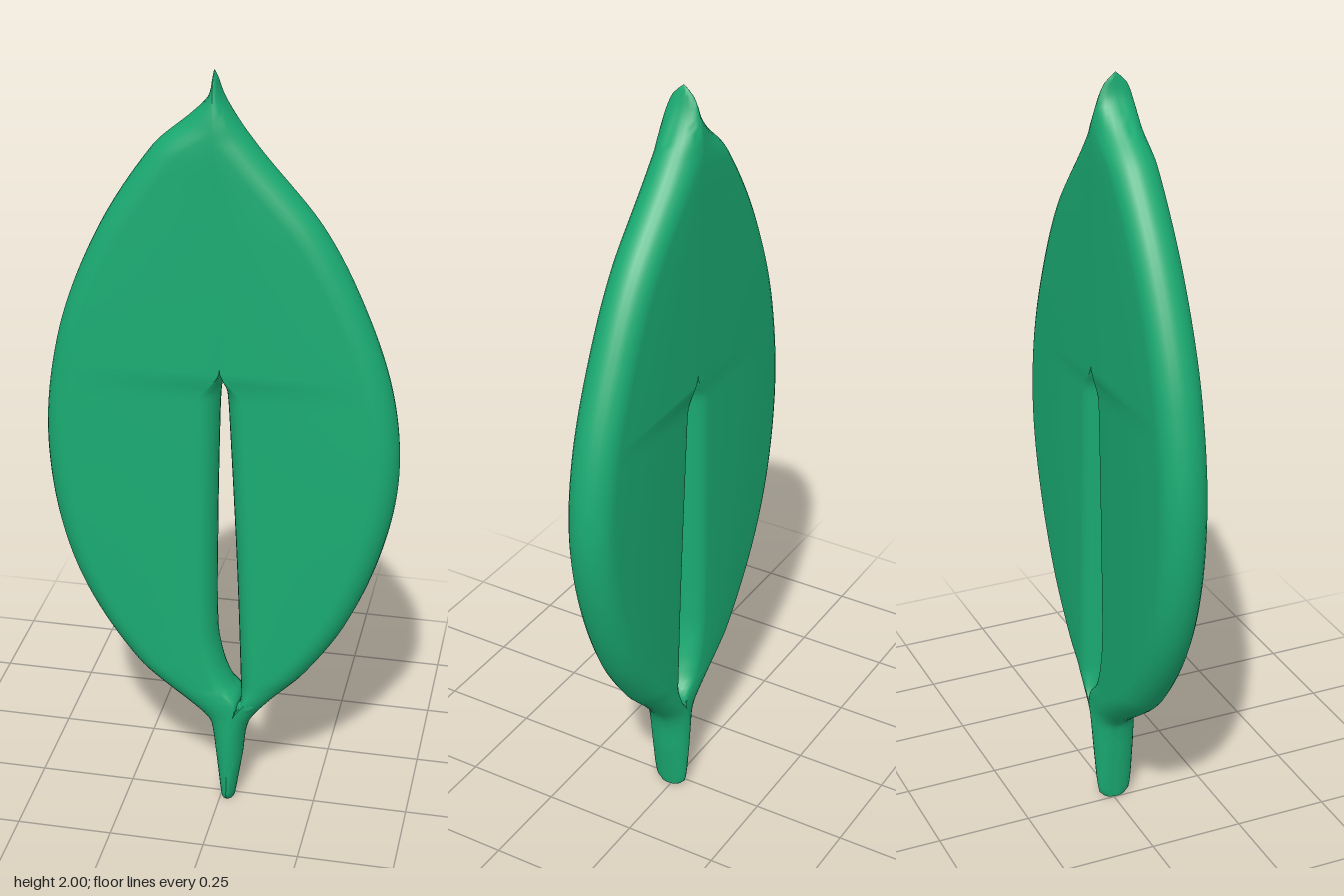
import * as THREE from 'three';
import { toCreasedNormals } from 'three/addons/utils/BufferGeometryUtils.js';

// Smooth curve through [y, value] pairs (cubic Hermite)
function curve(pts) {
  const slope = (i) => {
    const a = pts[Math.max(i - 1, 0)], b = pts[Math.min(i + 1, pts.length - 1)];
    return (b[1] - a[1]) / (b[0] - a[0]);
  };
  return (y) => {
    let i = 0;
    while (i < pts.length - 2 && y > pts[i + 1][0]) i++;
    const [y0, v0] = pts[i], [y1, v1] = pts[i + 1];
    const h = y1 - y0, t = THREE.MathUtils.clamp((y - y0) / h, 0, 1), t2 = t * t, t3 = t2 * t;
    return (2 * t3 - 3 * t2 + 1) * v0 + (t3 - 2 * t2 + t) * h * slope(i)
      + (3 * t2 - 2 * t3) * v1 + (t3 - t2) * h * slope(i + 1);
  };
}

// Outline of blade and stalk
const leftEdge = curve([[0, 0.002], [0.12, -0.012], [0.235, -0.028], [0.26, -0.045], [0.41, -0.225], [0.68, -0.385],
  [1.0, -0.447], [1.31, -0.415], [1.58, -0.315], [1.81, -0.17], [1.9, -0.07], [1.94, -0.033], [2, -0.021]]);
const rightEdge = curve([[0, 0.036], [0.12, 0.055], [0.24, 0.074], [0.31, 0.125], [0.41, 0.22], [0.57, 0.325],
  [0.79, 0.41], [1.0, 0.445], [1.21, 0.425], [1.42, 0.355], [1.63, 0.245], [1.82, 0.085], [1.93, 0.006], [2, -0.019]]);

// Both sides of the slot; they meet above and below it
const slotLeft = curve([[0, 0.019], [0.25, 0.03], [0.32, 0.054], [0.36, 0.03], [0.42, 0.006], [0.52, -0.011],
  [0.8, -0.012], [1.1, -0.007], [1.2, -0.003], [1.24, 0.004], [1.6, 0], [2, -0.02]]);
const slotRightOpen = curve([[0.32, 0.054], [0.7, 0.041], [1.1, 0.021], [1.2, 0.014], [1.24, 0.004]]);
const slotRight = (y) => (y > 0.32 && y < 1.24 ? Math.max(slotRightOpen(y), slotLeft(y)) : slotLeft(y));

const depth = curve([[0, 0.03], [0.015, 0.043], [0.12, 0.053], [0.25, 0.059], [0.6, 0.06], [1.7, 0.06],
  [1.86, 0.058], [1.93, 0.046], [1.975, 0.028], [2, 0.001]]);
const lean = (y) => 0.008 - 0.0068 * y;

const ROUND = 0.06, ARC = 6;
const { smoothstep } = THREE.MathUtils;
const slotRound = (y) => 0.045 * smoothstep(y, 0.28, 0.37) * (1 - smoothstep(y, 1.19, 1.27));
// Horizontal width of the rounding grows where the outline slants
function edgeRound(edge, y) {
  const s = (edge(Math.min(y + 0.01, 2)) - edge(Math.max(y - 0.01, 0))) / 0.02;
  return ROUND * Math.min(Math.hypot(1, s), 1.8);
}

// Closed cross-section at height y: flat faces with rounded ends of widths ra and rb
function section(y, xa, xb, ra, rb) {
  const w = Math.max(xb - xa, 0.0005), k = Math.min(1, w / (ra + rb));
  const t = depth(y), z0 = lean(y), ring = [];
  const add = (left, n, sign) => {
    const a = (n / ARC) * Math.PI / 2, inset = 1 - Math.cos(a);
    ring.push([left ? xa + ra * k * inset : xa + w - rb * k * inset, y, z0 + sign * t * Math.sin(a)]);
  };
  for (let n = 0; n <= ARC; n++) add(true, n, 1);
  for (let n = ARC; n >= 0; n--) add(false, n, 1);
  for (let n = 1; n <= ARC; n++) add(false, n, -1);
  for (let n = ARC; n >= 1; n--) add(true, n, -1);
  return ring;
}

// Join cross-sections into a solid with a closed bottom
function loft(rings) {
  const m = rings[0].length, index = [];
  for (let i = 0; i < rings.length - 1; i++) {
    for (let j = 0; j < m; j++) {
      const a = i * m + j, b = i * m + (j + 1) % m;
      index.push(a, b, b + m, a, b + m, a + m);
    }
  }
  for (let j = 1; j < m - 1; j++) index.push(0, j + 1, j);
  const geo = new THREE.BufferGeometry();
  geo.setAttribute('position', new THREE.Float32BufferAttribute(rings.flat(2), 3));
  geo.setIndex(index);
  return toCreasedNormals(geo, 0.75);
}

export function createModel() {
  const group = new THREE.Group();
  group.name = 'leaf';
  const green = new THREE.MeshStandardMaterial({ color: 0x1aab72 });
  const add = (name, geo) => {
    const mesh = new THREE.Mesh(geo, green);
    mesh.name = name;
    group.add(mesh);
    return mesh;
  };

  const heights = Array.from({ length: 161 }, (_, i) => i / 80);

  // Blade halves, each carrying its half of the stalk and tip
  add('rightBladeHalf', loft(heights.map((y) =>
    section(y, leftEdge(y), slotLeft(y), edgeRound(leftEdge, y), slotRound(y)))));
  add('leftBladeHalf', loft(heights.map((y) =>
    section(y, slotRight(y), rightEdge(y), slotRound(y), edgeRound(rightEdge, y)))));

  // Small knot where the slot meets the stalk
  const knot = add('stalkKnot', new THREE.SphereGeometry(1, 16, 10));
  knot.scale.set(0.036, 0.02, 0.022);
  knot.position.set(0.075, 0.31, 0.043);
  knot.rotation.z = 0.6;

  return group;
}
